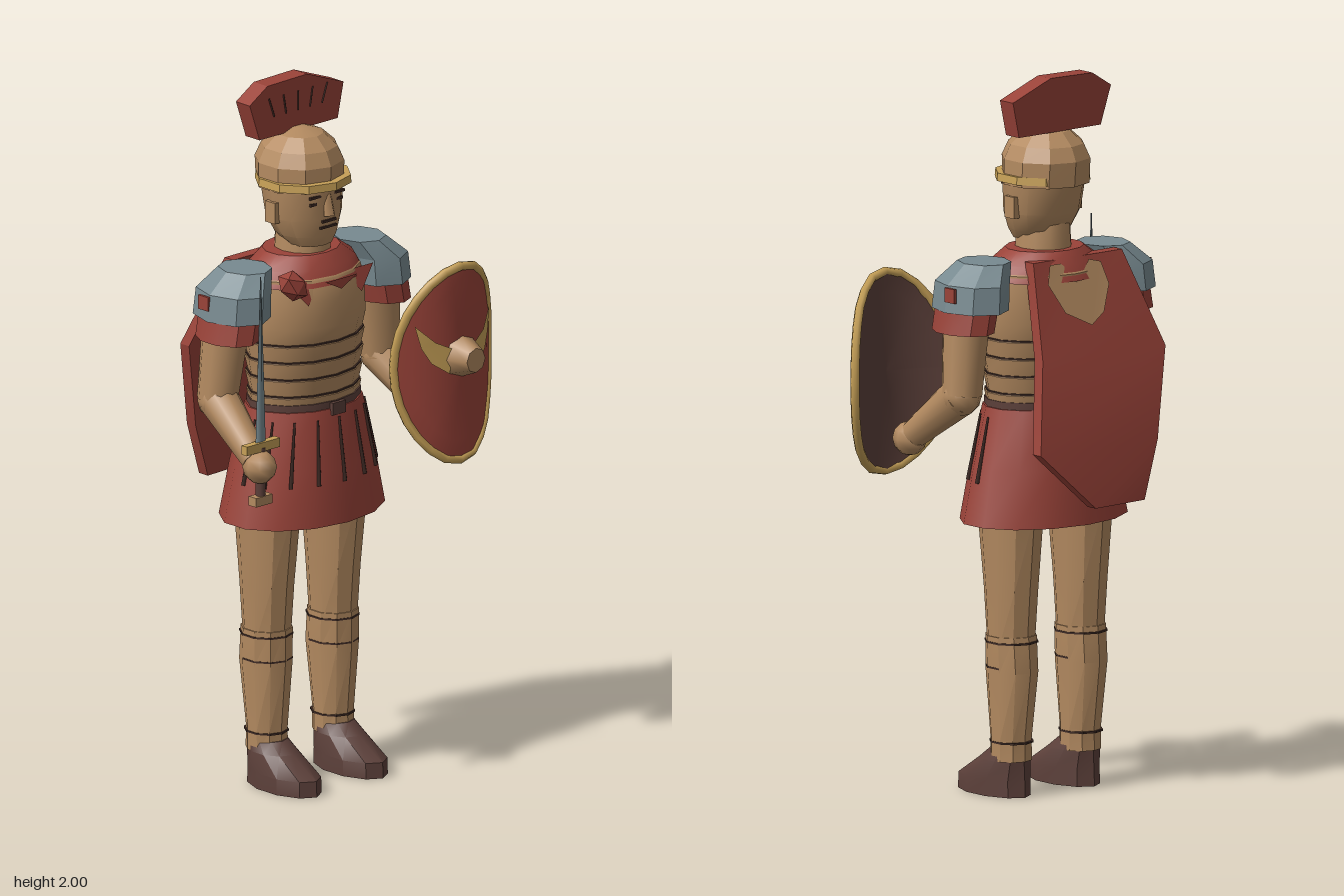
import * as THREE from 'three';
import { toCreasedNormals } from 'three/addons/utils/BufferGeometryUtils.js';

const mat = (name, color, side = THREE.FrontSide) => {
  const m = new THREE.MeshStandardMaterial({ color, side });
  m.name = name;
  return m;
};

// Closed body from oval rings [y, cx, cz, rx, rz], listed bottom to top
function loft(rings, n = 12, crease = 0.6) {
  const pos = [], idx = [];
  rings.forEach(([y, cx, cz, rx, rz]) => {
    for (let j = 0; j < n; j++) {
      const a = (j / n) * Math.PI * 2;
      pos.push(cx + rx * Math.sin(a), y, cz + rz * Math.cos(a));
    }
  });
  const last = rings.length - 1;
  for (let i = 0; i < last; i++) for (let j = 0; j < n; j++) {
    const k = (j + 1) % n, a = i * n + j, b = i * n + k;
    idx.push(a, b, b + n, a, b + n, a + n);
  }
  const base = pos.length / 3;
  for (const r of [rings[0], rings[last]]) pos.push(r[1], r[0], r[2]);
  for (let j = 0; j < n; j++) {
    const k = (j + 1) % n;
    idx.push(base, k, j, base + 1, last * n + j, last * n + k);
  }
  const g = new THREE.BufferGeometry();
  g.setAttribute('position', new THREE.Float32BufferAttribute(pos, 3));
  g.setIndex(idx);
  return toCreasedNormals(g, crease);
}

// Tapered rod between two points
function rod(a, b, ra, rb, n = 8) {
  const A = new THREE.Vector3(...a), B = new THREE.Vector3(...b), d = B.clone().sub(A);
  const g = new THREE.CylinderGeometry(rb, ra, d.length(), n);
  g.applyQuaternion(new THREE.Quaternion().setFromUnitVectors(new THREE.Vector3(0, 1, 0), d.normalize()));
  const c = A.add(B).multiplyScalar(0.5);
  return g.translate(c.x, c.y, c.z);
}

const box = (w, h, d, x, y, z) => new THREE.BoxGeometry(w, h, d).translate(x, y, z);
const shape = pts => new THREE.Shape(pts.map(p => new THREE.Vector2(...p)));

// Move every vertex's z by a rule
function bend(g, rule) {
  const p = g.attributes.position;
  for (let i = 0; i < p.count; i++) p.setZ(i, p.getZ(i) + rule(p.getX(i), p.getY(i)));
  g.computeVertexNormals();
  return g;
}

export function createModel() {
  const tan = mat('tan bronze', 0xb38a60), red = mat('red cloth', 0x9a4339);
  const steel = mat('grey steel', 0x788a90), gold = mat('gold trim', 0xc6a057, THREE.DoubleSide);
  const brown = mat('brown leather', 0x5c403a), dark = mat('dark line', 0x3f2b25);
  const tanPlate = mat('tan plate', 0xb38a60, THREE.DoubleSide);
  const redPlate = mat('red plate', 0x9a4339, THREE.DoubleSide);

  const model = new THREE.Group();
  const body = new THREE.Group();
  body.name = 'body';
  body.position.x = -0.072;
  model.add(body);
  const add = (name, geo, m, parent = body) => {
    const mesh = new THREE.Mesh(geo, m);
    mesh.name = name;
    parent.add(mesh);
    return mesh;
  };

  // Head and neck
  add('neck', loft([[1.47, 0, -0.03, 0.08, 0.085], [1.6, 0, -0.03, 0.07, 0.08]]), tan);
  add('head', loft([[1.54, 0, 0.0, 0.065, 0.06], [1.57, 0, -0.015, 0.09, 0.085], [1.62, 0, -0.025, 0.112, 0.1],
    [1.73, 0, -0.035, 0.12, 0.115]]), tan);
  add('nose', rod([0, 1.69, 0.07], [0, 1.63, 0.078], 0.012, 0.02, 4), tan);
  add('mouth', box(0.06, 0.006, 0.006, 0, 1.597, 0.073), dark);
  add('moustache', box(0.05, 0.007, 0.006, 0, 1.615, 0.076), dark);
  for (const s of [-1, 1]) {
    add('eye', box(0.03, 0.008, 0.008, s * 0.045, 1.667, 0.064), dark);
    add('brow', box(0.04, 0.007, 0.008, s * 0.045, 1.688, 0.068), dark);
    add('ear', box(0.02, 0.06, 0.04, s * 0.113, 1.64, -0.03), tan);
  }

  // Helmet, brim and crest
  add('helmetDome', loft([[1.7, 0, -0.04, 0.125, 0.122], [1.77, 0, -0.042, 0.124, 0.126], [1.81, 0, -0.042, 0.105, 0.108],
    [1.845, 0, -0.042, 0.066, 0.07], [1.86, 0, -0.042, 0.02, 0.02]], 10, 0.35), tan);
  add('helmetBrim', loft([[1.708, 0, -0.027, 0.136, 0.134], [1.73, 0, -0.027, 0.134, 0.132]], 10), gold);
  add('crest', new THREE.ExtrudeGeometry(shape([[-0.145, 1.848], [0.15, 1.848], [0.172, 1.948], [0.035, 2], [-0.115, 1.997],
    [-0.182, 1.955]]), { depth: 0.055, bevelEnabled: false }).translate(0, 0, -0.103), red);
  for (let i = -2; i <= 2; i++)
    add('crestLine', rod([i * 0.045, 1.905, -0.047], [i * 0.055, 1.96, -0.047], 0.003, 0.003, 4), dark);

  // Banded cuirass
  const bands = [];
  for (let i = 0; i < 5; i++) {
    const y = 1.08 + i * 0.05, r = 0.168 + i * 0.003;
    bands.push([y, 0, -0.025, r, 0.124 + i * 0.003], [y + 0.044, 0, -0.025, r + 0.009, 0.134 + i * 0.003]);
  }
  add('cuirass', loft([...bands, [1.4, 0, -0.028, 0.188, 0.144], [1.46, 0, -0.033, 0.18, 0.138],
    [1.5, 0, -0.035, 0.13, 0.1]], 14), tan);
  for (let i = 1; i < 5; i++)
    add('bandGap', loft([[1.074 + i * 0.05, 0, -0.025, 0.172 + i * 0.003, 0.129 + i * 0.003],
      [1.08 + i * 0.05, 0, -0.025, 0.172 + i * 0.003, 0.129 + i * 0.003]], 14), dark);

  // Neck cloth with pointed edge and shoulder knot
  add('neckCloth', loft([[1.44, 0, -0.033, 0.188, 0.145], [1.485, 0, -0.033, 0.165, 0.125],
    [1.52, 0, -0.035, 0.115, 0.1]], 14), red);
  for (const [x, w, tip] of [[-0.1, 0.06, 1.395], [0, 0.06, 1.43], [0.1, 0.06, 1.395]]) {
    const z = 0.118 - Math.abs(x) * 0.25;
    add('neckClothPoint', bend(new THREE.ShapeGeometry(shape([[x - w, 1.46], [x, tip], [x + w, 1.46]])),
      px => z + 0.008 - Math.abs(px - x) * Math.abs(x) * 3), redPlate);
  }
  add('cloakKnot', new THREE.IcosahedronGeometry(1, 0).scale(0.055, 0.04, 0.04).rotateZ(-0.7)
    .translate(-0.145, 1.46, 0.085), red);

  // Belt and pleated skirt
  add('belt', loft([[1.07, 0, -0.025, 0.176, 0.134], [1.105, 0, -0.025, 0.176, 0.134]], 14), brown);
  add('skirt', loft([[0.765, 0, -0.032, 0.26, 0.188], [0.92, 0, -0.03, 0.226, 0.167], [1.085, 0, -0.025, 0.181, 0.138]], 14), red);
  add('buckle', box(0.05, 0.035, 0.012, 0, 1.085, 0.112), brown);
  for (let i = -4; i <= 4; i++) {
    const a = i * 0.38, s = Math.sin(a), c = Math.cos(a);
    add('pleat', rod([0.232 * s, 0.88, -0.03 + 0.17 * c], [0.19 * s, 1.06, -0.026 + 0.143 * c], 0.008, 0.004, 4), dark);
  }

  // Mirrored legs and arms
  for (const s of [-1, 1]) {
    const x = s * 0.125;
    add('thigh', loft([[0.42, x, -0.04, 0.066, 0.068], [0.58, x, -0.04, 0.073, 0.08], [0.8, x, -0.038, 0.085, 0.102]], 10), tan);
    add('greave', loft([[0.1, x, -0.04, 0.058, 0.06], [0.16, x, -0.04, 0.058, 0.058], [0.35, x, -0.044, 0.07, 0.078],
      [0.45, x, -0.04, 0.071, 0.074]], 10), tan);
    for (const [y, r] of [[0.15, 0.06], [0.36, 0.071], [0.43, 0.073]])
      add('greaveLine', loft([[y, x, -0.042, r, r + 0.005], [y + 0.005, x, -0.042, r, r + 0.005]], 10), dark);
    add('shoe', loft([[0, x, 0.03, 0.07, 0.13], [0.045, x, 0.03, 0.07, 0.128], [0.1, x, -0.015, 0.063, 0.08],
      [0.13, x, -0.035, 0.052, 0.058]], 10), brown);

    add('shoulderPlate', loft([[1.375, s * 0.265, -0.032, 0.093, 0.122], [1.45, s * 0.258, -0.032, 0.09, 0.118],
      [1.503, s * 0.215, -0.032, 0.07, 0.08]], 8, 0.3), steel);
    add('shoulderPatch', box(0.008, 0.04, 0.04, s * 0.352, 1.425, -0.05), red);
    add('sleeve', loft([[1.315, s * 0.287, -0.027, 0.074, 0.1], [1.4, s * 0.27, -0.027, 0.076, 0.1]], 10), red);
    add('upperArm', rod([s * 0.307, 1.14, -0.045], [s * 0.28, 1.38, -0.035], 0.057, 0.068, 10), tan);
    add('elbow', new THREE.SphereGeometry(0.059, 10, 6).translate(s * 0.307, 1.14, -0.04), tan);
    add('forearm', rod([s * 0.307, 1.14, -0.04], [s * 0.328, 1.01, 0.13], 0.058, 0.04, 10), tan);
    add('hand', new THREE.SphereGeometry(1, 8, 6).scale(0.046, 0.048, 0.05).translate(s * 0.33, 0.995, 0.148), tan);
  }

  // Cape: rows of [y, xRight, zRight, xLeft, zLeft], thickened towards the body
  const rows = [[1.5, -0.19, -0.14, 0.13, -0.14], [1.24, -0.253, -0.25, 0.16, -0.215],
    [0.99, -0.195, -0.285, 0.212, -0.268], [0.83, -0.135, -0.3, 0.05, -0.31]];
  const cp = [], ci = [];
  rows.forEach(([y, x0, z0, x1, z1]) => cp.push(x0, y, z0, x1, y, z1, x1, y, z1 + 0.035, x0, y, z0 + 0.035));
  for (let i = 0; i < 3; i++) for (let j = 0; j < 4; j++) {
    const k = (j + 1) % 4, a = i * 4 + j, b = i * 4 + k;
    ci.push(a, b + 4, b, a, a + 4, b + 4);
  }
  ci.push(0, 1, 2, 0, 2, 3, 12, 14, 13, 12, 15, 14);
  const cape = new THREE.BufferGeometry();
  cape.setAttribute('position', new THREE.Float32BufferAttribute(cp, 3));
  cape.setIndex(ci);
  add('cape', toCreasedNormals(cape, 0.3), redPlate);

  // Armour patch on the upper cape
  add('backPatch', bend(new THREE.ShapeGeometry(shape([[-0.02, 1.32], [0.06, 1.36], [0.1, 1.44], [0.08, 1.49], [0.04, 1.49],
    [-0.01, 1.44], [-0.06, 1.49], [-0.1, 1.48], [-0.11, 1.42], [-0.07, 1.35]])),
  (x, y) => -0.148 - (1.5 - y) / 0.26 * (0.092 - x * 0.085)), tanPlate);

  // Sword held upright in the right hand
  const sword = new THREE.Group();
  sword.name = 'sword';
  sword.position.set(-0.398, 0, 0.148);
  model.add(sword);
  add('blade', new THREE.CylinderGeometry(0.002, 0.019, 0.48, 4).scale(1, 1, 0.3).translate(0, 1.3, 0), steel, sword);
  add('guard', box(0.125, 0.026, 0.022, 0, 1.053, 0), gold, sword);
  add('grip', rod([0, 0.9, 0], [0, 1.05, 0], 0.014, 0.014), brown, sword);
  add('pommel', box(0.062, 0.026, 0.03, 0, 0.899, 0), tan, sword);

  // Oval shield curved about its upright axis
  const shield = new THREE.Group();
  shield.name = 'shield';
  shield.position.set(0.267, 1.17, 0.25);
  model.add(shield);
  const curve = x => -2.6 * x * x;
  const disc = () => new THREE.RingGeometry(0.001, 1, 14, 5).scale(0.178, 0.28, 1);
  add('shieldFace', bend(disc(), curve), red, shield);
  add('shieldBack', bend(disc().rotateY(Math.PI), x => curve(x) - 0.014), brown, shield);
  const rimPts = [];
  for (let i = 0; i < 14; i++) {
    const a = (i / 14) * Math.PI * 2, x = 0.177 * Math.cos(a);
    rimPts.push(new THREE.Vector3(x, 0.279 * Math.sin(a), curve(x) - 0.007));
  }
  add('shieldRim', new THREE.TubeGeometry(new THREE.CatmullRomCurve3(rimPts, true), 28, 0.013, 6, true), gold, shield);
  add('boss', new THREE.CylinderGeometry(0.035, 0.06, 0.06, 8).rotateX(Math.PI / 2).translate(0, 0.02, 0.025), tan, shield);
  for (const s of [-1, 1])
    add('wing', bend(new THREE.ShapeGeometry(shape([[0.04, 0.05], [0.09, 0.075], [0.14, 0.125], [0.125, 0.06], [0.1, 0.015],
      [0.05, -0.02]].map(([x, y]) => [s * x, y]))), x => curve(x) + 0.009), gold, shield);

  return model;
}
